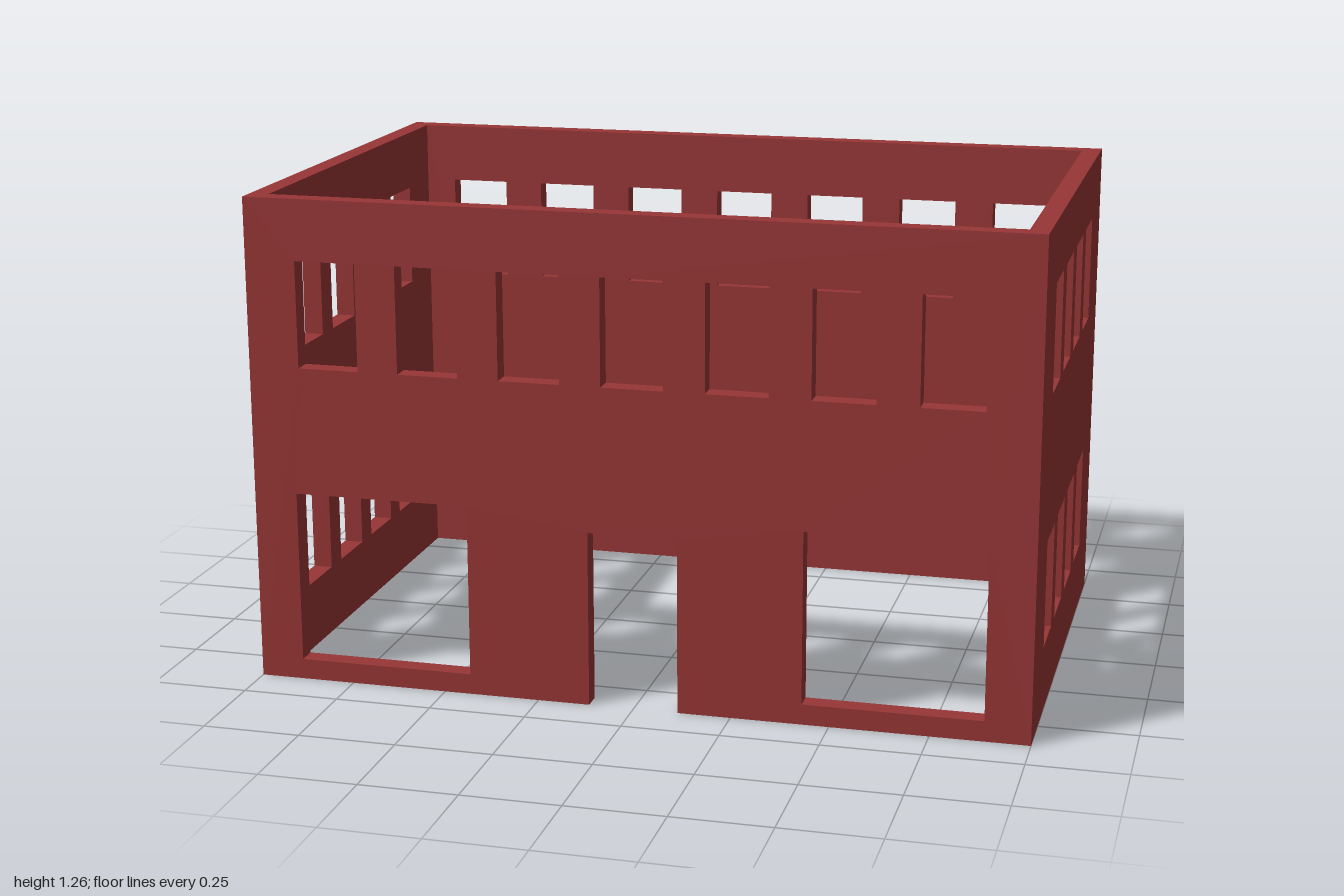
import * as THREE from 'three';

const W = 2, D = 1.262, H = 1.262, T = 0.05;
const FLOORS = [[0.18, 0.455], [0.83, 1.105]]; // sill and head heights
const WINDOW_W = 0.158;

// Evenly spaced row of window rectangles [x0, y0, x1, y1]
function windowRow(count, spacing, [y0, y1]) {
  return Array.from({ length: count }, (_, i) => {
    const x = (i - (count - 1) / 2) * spacing;
    return [x - WINDOW_W / 2, y0, x + WINDOW_W / 2, y1];
  });
}

// Wall panel facing +z with its outer face at z = 0 and mitred ends
function wallGeometry(length, openings, door) {
  const h = length / 2;
  const points = [[-h, 0]];
  if (door) points.push([door.x0, 0], [door.x0, door.top], [door.x1, door.top], [door.x1, 0]);
  points.push([h, 0], [h, H], [-h, H]);
  const shape = new THREE.Shape(points.map(([x, y]) => new THREE.Vector2(x, y)));
  for (const [x0, y0, x1, y1] of openings) {
    shape.holes.push(new THREE.Path([
      new THREE.Vector2(x0, y0), new THREE.Vector2(x0, y1),
      new THREE.Vector2(x1, y1), new THREE.Vector2(x1, y0),
    ]));
  }
  const geo = new THREE.ExtrudeGeometry(shape, { depth: T, bevelEnabled: false });
  geo.translate(0, 0, -T);

  // Draw the inner corners in so that neighbouring walls meet at 45 degrees
  const pos = geo.attributes.position;
  for (let i = 0; i < pos.count; i++) {
    const x = pos.getX(i);
    if (pos.getZ(i) < -T / 2 && Math.abs(x) > h - 1e-4) pos.setX(i, x - Math.sign(x) * T);
  }
  geo.computeVertexNormals();
  return geo;
}

export function createModel() {
  const brick = new THREE.MeshStandardMaterial({ color: 0x993636 });
  brick.name = 'brick red';
  const model = new THREE.Group();
  model.name = 'buildingShell';

  function addWall(name, geometry, distance, angle) {
    const wall = new THREE.Mesh(geometry, brick);
    wall.name = name;
    wall.rotation.y = angle;
    wall.position.set(Math.sin(angle) * distance, 0, Math.cos(angle) * distance);
    model.add(wall);
  }

  // Front: upper windows, two shop windows and a doorway
  const shopWindows = [[-0.887, 0.053, -0.431, 0.5], [0.431, 0.053, 0.885, 0.5]];
  const frontOpenings = [...windowRow(7, 0.263, FLOORS[1]), ...shopWindows];
  const door = { x0: -0.116, x1: 0.114, top: 0.455 };
  addWall('frontWall', wallGeometry(W, frontOpenings, door), D / 2, 0);

  // Back: seven windows on each floor
  const backOpenings = FLOORS.flatMap((floor) => windowRow(7, 0.263, floor));
  addWall('backWall', wallGeometry(W, backOpenings), D / 2, Math.PI);

  // Sides: four windows on each floor
  const sideOpenings = FLOORS.flatMap((floor) => windowRow(4, 0.229, floor));
  const side = wallGeometry(D, sideOpenings);
  addWall('leftWall', side, W / 2, Math.PI / 2);
  addWall('rightWall', side, W / 2, -Math.PI / 2);

  return model;
}
